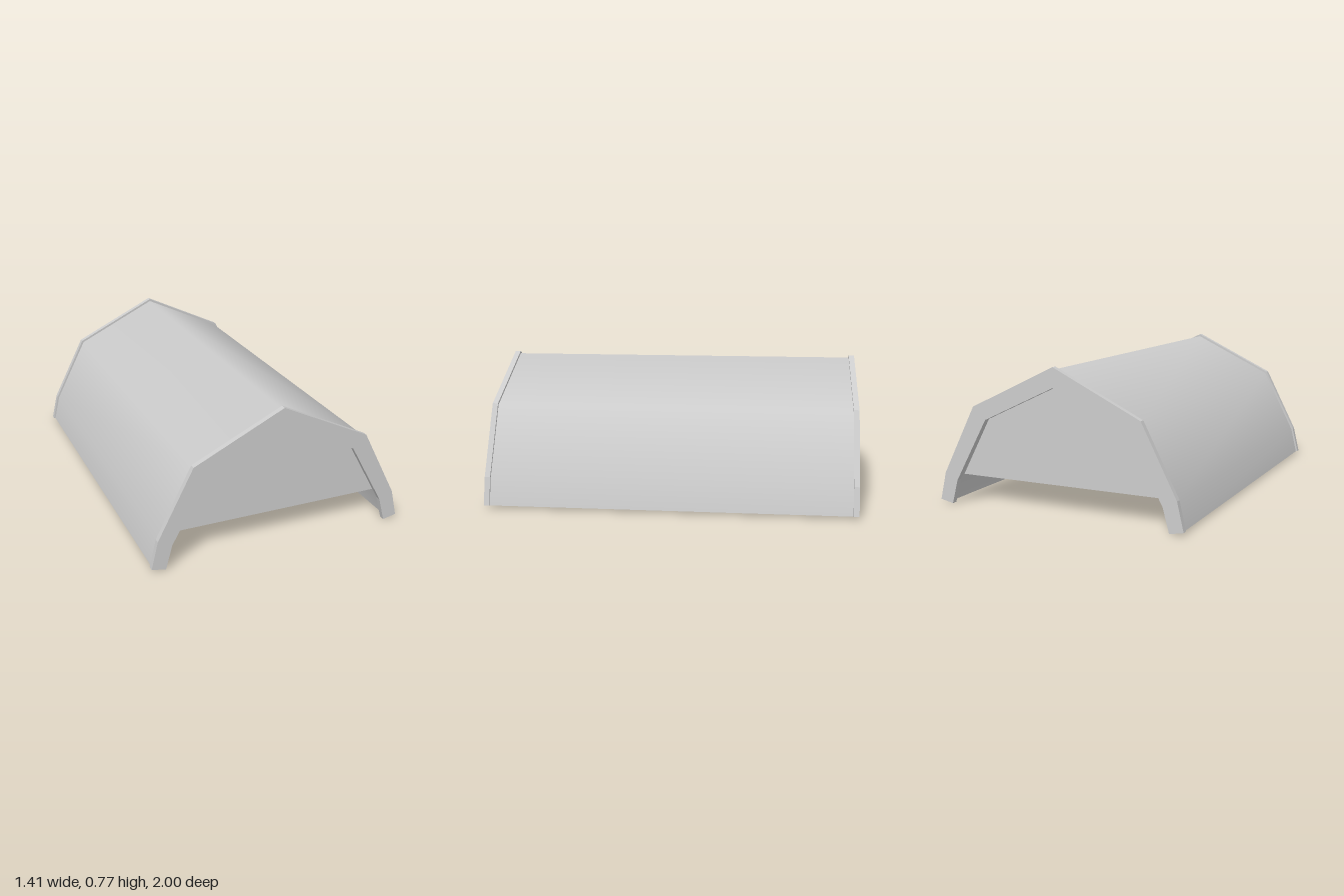
import * as THREE from 'three';

// Right half of the gambrel outline, from foot to ridge
const OUTER = [[0.705, 0.015], [0.67, 0.165], [0.48, 0.535], [0, 0.767]];
const INNER = [[0.63, 0], [0.595, 0.13], [0.407, 0.47], [0, 0.663]];
const ROOF_OUT = 0.13, ROOF_IN = 0.65;
const TRIM_Z = 0.97, GABLE_Z = 0.9, GABLE_BASE = 0.14;

// Full left-to-right outline at fraction t between OUTER and INNER
function outline(t) {
  const half = OUTER.map(([x, y], i) => new THREE.Vector2(
    THREE.MathUtils.lerp(x, INNER[i][0], t), THREE.MathUtils.lerp(y, INNER[i][1], t)));
  const left = half.map((p) => new THREE.Vector2(-p.x, p.y));
  return [...left, ...half.slice(0, -1).reverse()];
}

// Smooth sheet: an open profile swept along z, facing left of its direction
function sheet(profile, halfLength) {
  const normals2 = profile.slice(1).map((p, i) =>
    new THREE.Vector2(profile[i].y - p.y, p.x - profile[i].x).normalize());
  const pos = [], nor = [], idx = [];
  profile.forEach((p, i) => {
    const n = new THREE.Vector2();
    if (i > 0) n.add(normals2[i - 1]);
    if (i < normals2.length) n.add(normals2[i]);
    n.normalize();
    for (const z of [halfLength, -halfLength]) {
      pos.push(p.x, p.y, z);
      nor.push(n.x, n.y, 0);
    }
    if (i > 0) {
      const a = 2 * i - 2;
      idx.push(a, a + 2, a + 1, a + 1, a + 2, a + 3);
    }
  });
  const g = new THREE.BufferGeometry();
  g.setAttribute('position', new THREE.Float32BufferAttribute(pos, 3));
  g.setAttribute('normal', new THREE.Float32BufferAttribute(nor, 3));
  g.setIndex(idx);
  return g;
}

export function createModel() {
  const model = new THREE.Group();
  model.name = 'barnRoof';
  const grey = new THREE.MeshStandardMaterial({ color: 0xcccccc });
  const thin = new THREE.MeshStandardMaterial({ color: 0xcccccc, side: THREE.DoubleSide });
  const add = (parent, name, geometry, material = grey) => {
    const mesh = new THREE.Mesh(geometry, material);
    mesh.name = name;
    parent.add(mesh);
    return mesh;
  };

  // Roof shell: outer skin, inner skin and the two eave edges
  const roof = new THREE.Group();
  roof.name = 'roof';
  model.add(roof);
  const out = outline(ROOF_OUT), inn = outline(ROOF_IN);
  const last = out.length - 1;
  add(roof, 'roofOuter', sheet(out, TRIM_Z));
  add(roof, 'roofInner', sheet([...inn].reverse(), TRIM_Z));
  add(roof, 'leftEave', sheet([out[last], inn[last]], TRIM_Z));
  add(roof, 'rightEave', sheet([inn[0], out[0]], TRIM_Z));

  // Trim band covering each end of the roof
  const trimShape = new THREE.Shape([...outline(0), ...outline(1).reverse()]);
  const trimGeometry = new THREE.ExtrudeGeometry(trimShape, { depth: 1 - TRIM_Z, bevelEnabled: false });

  // Gable wall fitted under the roof, cut level at its base
  const [foot, bend] = inn;
  const cut = foot.clone().lerp(bend, (GABLE_BASE - foot.y) / (bend.y - foot.y));
  const gableShape = new THREE.Shape([cut, ...inn.slice(1, -1), new THREE.Vector2(-cut.x, cut.y)]);
  const gableGeometry = new THREE.ShapeGeometry(gableShape);

  for (const [side, turn] of [['front', 0], ['back', Math.PI]]) {
    const end = new THREE.Group();
    end.name = side + 'End';
    end.rotation.y = turn;
    model.add(end);
    add(end, side + 'Trim', trimGeometry).position.z = TRIM_Z;
    add(end, side + 'Gable', gableGeometry, thin).position.z = GABLE_Z;
  }
  return model;
}
